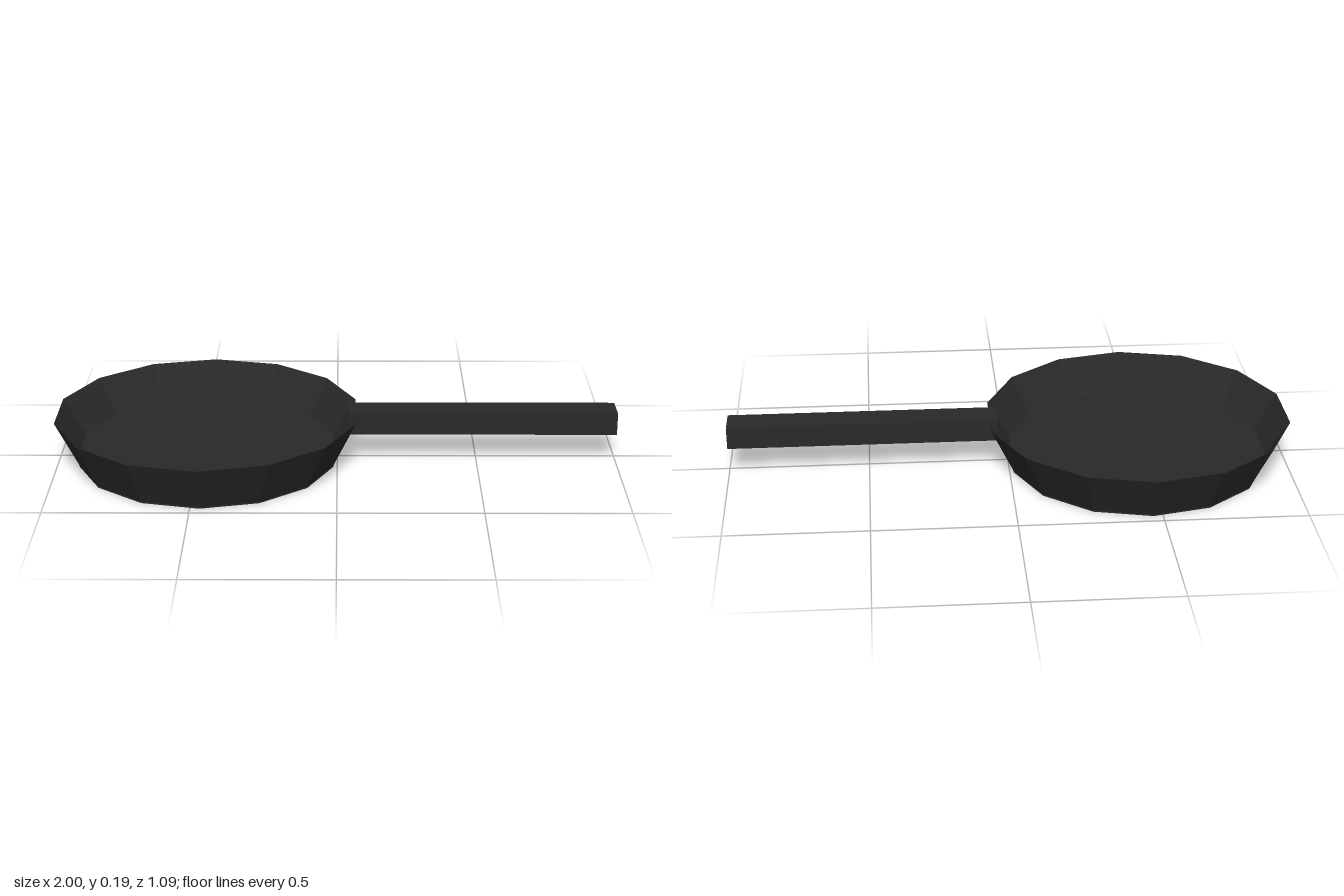
import * as THREE from 'three';

export function createModel() {
  const group = new THREE.Group();
  const iron = new THREE.MeshStandardMaterial({ color: 0x29292b, flatShading: true });

  const add = (name, geometry, x, y) => {
    const mesh = new THREE.Mesh(geometry, iron);
    mesh.name = name;
    mesh.position.set(x, y, 0);
    group.add(mesh);
  };

  // Pan: underside, small lip, flared wall tapering to a sharp rim, raised floor
  const profile = [
    [0, 0],
    [0.465, 0],
    [0.465, 0.005],
    [0.547, 0.172],
    [0.465, 0.042],
    [0, 0.042],
  ].map(([r, y]) => new THREE.Vector2(r, y));
  add('pan', new THREE.LatheGeometry(profile, 14), -0.467, 0);

  // Straight square-edged handle, its end poking through the wall
  add('handle', new THREE.BoxGeometry(0.96, 0.081, 0.108), 0.52, 0.145);

  return group;
}
